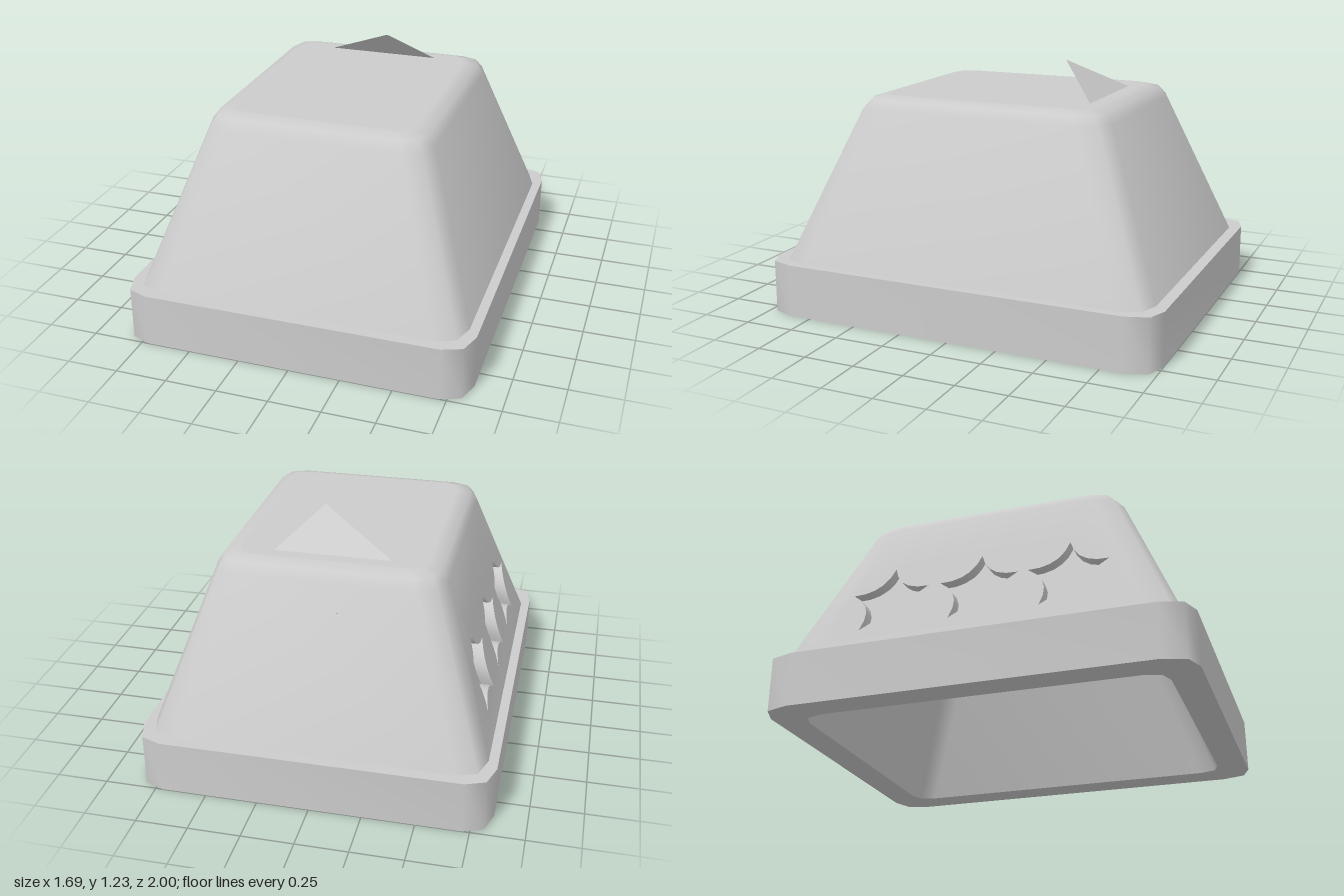
import * as THREE from 'three';
import { mergeGeometries, toCreasedNormals } from 'three/addons/utils/BufferGeometryUtils.js';

const SLOPE_LOW = { hx: 0.8, hz: 0.945, r: 0.13, y: 0.26 };
const SLOPE_HIGH = { hx: 0.545, hz: 0.645, r: 0.12, y: 1.0 };
const PANEL_EDGE = 5; // index of the ring edge running along the -x side
const CORNER_Z = 1.12; // corners are slightly longer along z

// Rectangle with three-point corners, running from +x towards +z
function ring({ hx, hz, r, y }) {
  const rz = r * CORNER_Z;
  const corner = [[hx, hz - rz], [hx - 0.27 * r, hz - 0.25 * rz], [hx - r, hz]];
  const back = [...corner].reverse();
  return [
    ...corner,
    ...back.map(([x, z]) => [-x, z]),
    ...corner.map(([x, z]) => [-x, -z]),
    ...back.map(([x, z]) => [x, -z]),
  ].map(([x, z]) => new THREE.Vector3(x, y, z));
}

function fromTriangles(points) {
  const g = new THREE.BufferGeometry().setFromPoints(points);
  g.computeVertexNormals();
  return g;
}

// Skin between successive rings, with optional end caps
function loft(sections, { capStart, capEnd, skip } = {}) {
  const rings = sections.map(ring);
  const n = rings[0].length;
  const tris = [];
  for (let j = 0; j + 1 < rings.length; j++) {
    for (let i = 0; i < n; i++) {
      if (skip && skip(j, i)) continue;
      const k = (i + 1) % n;
      const a = rings[j][i], b = rings[j][k], c = rings[j + 1][k], d = rings[j + 1][i];
      tris.push(a, d, c, a, c, b);
    }
  }
  const cap = (pts, up) => {
    const mid = new THREE.Vector3(0, pts[0].y, 0);
    pts.forEach((p, i) => {
      const q = pts[(i + 1) % n];
      tris.push(mid, up ? q : p, up ? p : q);
    });
  };
  if (capStart) cap(rings[0], false);
  if (capEnd) cap(rings[rings.length - 1], true);
  return fromTriangles(tris);
}

// Depth of the sloping -x wall at height y
const wallX = (y) => -THREE.MathUtils.mapLinear(
  y, SLOPE_LOW.y, SLOPE_HIGH.y, SLOPE_LOW.hx, SLOPE_HIGH.hx);

// Lay a flat (z, y) shape onto the -x wall, optionally sunk inwards
function onWall(shape, depth = 0) {
  const g = new THREE.ShapeGeometry(shape).toNonIndexed();
  const p = g.attributes.position;
  for (let i = 0; i < p.count; i++) {
    const z = p.getX(i), y = p.getY(i);
    p.setXYZ(i, wallX(y) + depth, y, z);
  }
  g.deleteAttribute('uv');
  g.computeVertexNormals();
  return g;
}

// Five-pointed star with softly curved notches
function starPoints(cz, cy) {
  const polar = (r, step) => {
    const a = Math.PI / 2 + (step * Math.PI) / 5;
    return [cz + r * Math.cos(a), cy + r * Math.sin(a)];
  };
  const path = new THREE.Path().moveTo(...polar(0.2, 0));
  for (let i = 0; i < 10; i += 2) {
    path.quadraticCurveTo(...polar(0.065, i + 1), ...polar(0.2, i + 2));
  }
  return path.getPoints(5).slice(0, -1);
}

// Side walls and floor of one sunken star
function starRecess(pts, depth) {
  const at = (p, d) => new THREE.Vector3(wallX(p.y) + d, p.y, p.x);
  const tris = [];
  pts.forEach((p, i) => {
    const q = pts[(i + 1) % pts.length];
    tris.push(at(p, 0), at(q, 0), at(q, depth), at(p, 0), at(q, depth), at(p, depth));
  });
  return mergeGeometries([fromTriangles(tris), onWall(new THREE.Shape(pts), depth)]);
}

export function createModel() {
  const model = new THREE.Group();
  const material = new THREE.MeshStandardMaterial({ color: 0xcccccc });
  const thin = new THREE.MeshStandardMaterial({ color: 0xcccccc, side: THREE.DoubleSide });
  const add = (name, geometry, mat = material) => {
    const mesh = new THREE.Mesh(geometry, mat);
    mesh.name = name;
    model.add(mesh);
  };
  const smooth = (g) => toCreasedNormals(g, 0.9);

  // Rim around the foot
  const opening = { hx: 0.7, hz: 0.855, r: 0.09, y: 0 };
  add('baseRim', smooth(loft([
    opening,
    { hx: 0.845, hz: 1, r: 0.13, y: 0 },
    { hx: 0.845, hz: 1, r: 0.13, y: 0.26 },
    SLOPE_LOW,
  ])));

  // Tapered body with rounded top; the -x wall is a panel pierced by stars
  const stars = [-0.44, 0, 0.43].map((z) => starPoints(z, 0.53));
  const lowZ = SLOPE_LOW.hz - SLOPE_LOW.r * CORNER_Z;
  const highZ = SLOPE_HIGH.hz - SLOPE_HIGH.r * CORNER_Z;
  const panel = new THREE.Shape([
    new THREE.Vector2(-lowZ, SLOPE_LOW.y), new THREE.Vector2(lowZ, SLOPE_LOW.y),
    new THREE.Vector2(highZ, SLOPE_HIGH.y), new THREE.Vector2(-highZ, SLOPE_HIGH.y),
  ]);
  panel.holes = stars.map((pts) => new THREE.Path(pts));
  const shell = loft([
    SLOPE_LOW,
    SLOPE_HIGH,
    { hx: 0.515, hz: 0.61, r: 0.11, y: 1.045 },
    { hx: 0.455, hz: 0.55, r: 0.08, y: 1.063 },
    { hx: 0.44, hz: 0.535, r: 0.075, y: 1.063 },
  ], { capEnd: true, skip: (j, i) => j === 0 && i === PANEL_EDGE });
  add('body', smooth(mergeGeometries([shell, onWall(panel)])));
  stars.forEach((pts, i) => add(`starRecess${i + 1}`, smooth(starRecess(pts, 0.06))));

  // Hollow underside
  add('cavity', smooth(loft([
    { hx: 0.42, hz: 0.52, r: 0.09, y: 1.0 },
    opening,
  ], { capStart: true })));

  // Thin triangular fin leaning forward on the top
  const V = (x, y, z) => new THREE.Vector3(x, y, z);
  add('topFin', fromTriangles([
    V(-0.285, 1.06, -0.485), V(0.08, 1.233, -0.28), V(0.285, 1.06, -0.485),
  ]), thin);

  // Tiny spur on the back slope
  add('backSpur', fromTriangles([
    V(-0.08, 0.875, -0.69), V(-0.07, 0.885, -0.7), V(-0.06, 0.875, -0.69),
  ]), thin);

  return model;
}
